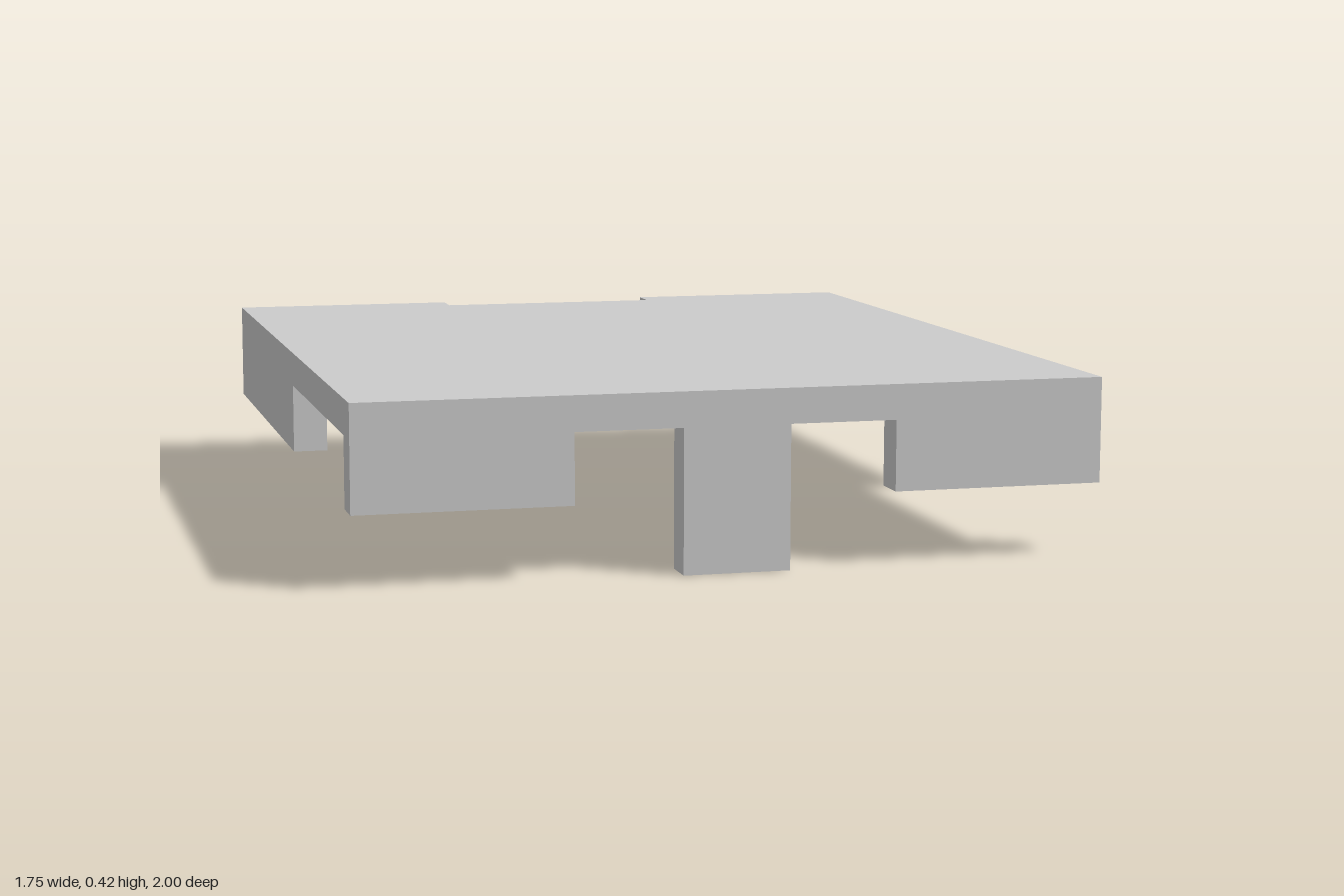
import * as THREE from 'three';

const W = 0.875, D = 1, T = 0.083;            // half width, half depth, wall thickness
const TOP = 0.417, UNDER = 0.335, RIM = 0.17; // top, underside of the plate, bottom of the walls
const NOTCH = 0.292, FRONT_GAP = 0.375, SIDE_END = 0.083;

export function createModel() {
  const group = new THREE.Group();
  const material = new THREE.MeshStandardMaterial({ color: 0xcccccc, flatShading: true });

  // Extrude a plan outline of [x, z] points between two heights
  function slab(name, outline, y0, y1) {
    const shape = new THREE.Shape(outline.map(([x, z]) => new THREE.Vector2(x, -z)));
    const geometry = new THREE.ExtrudeGeometry(shape, { depth: y1 - y0, bevelEnabled: false });
    geometry.rotateX(-Math.PI / 2).translate(0, y0, 0);
    const mesh = new THREE.Mesh(geometry, material);
    mesh.name = name;
    group.add(mesh);
  }

  // Top plate with the notch in its back edge
  slab('topPlate', [
    [-W, D], [W, D], [W, -D], [NOTCH, -D], [NOTCH, -D + T],
    [-NOTCH, -D + T], [-NOTCH, -D], [-W, -D],
  ], UNDER, TOP);

  for (const [side, s] of [['left', 1], ['right', -1]]) {
    // L-shaped wall around the back corner
    slab(side + 'BackCornerWall', [
      [s * NOTCH, -D], [s * W, -D], [s * W, SIDE_END], [s * (W - T), SIDE_END],
      [s * (W - T), -D + T], [s * NOTCH, -D + T],
    ], RIM, UNDER);

    // Short wall along the front edge
    slab(side + 'FrontWall', [
      [s * FRONT_GAP, D - T], [s * W, D - T], [s * W, D], [s * FRONT_GAP, D],
    ], RIM, UNDER);
  }

  // Long tab hanging from the middle of the front edge
  slab('frontTab', [[-0.125, D - T], [0.125, D - T], [0.125, D], [-0.125, D]], 0, UNDER);

  return group;
}
